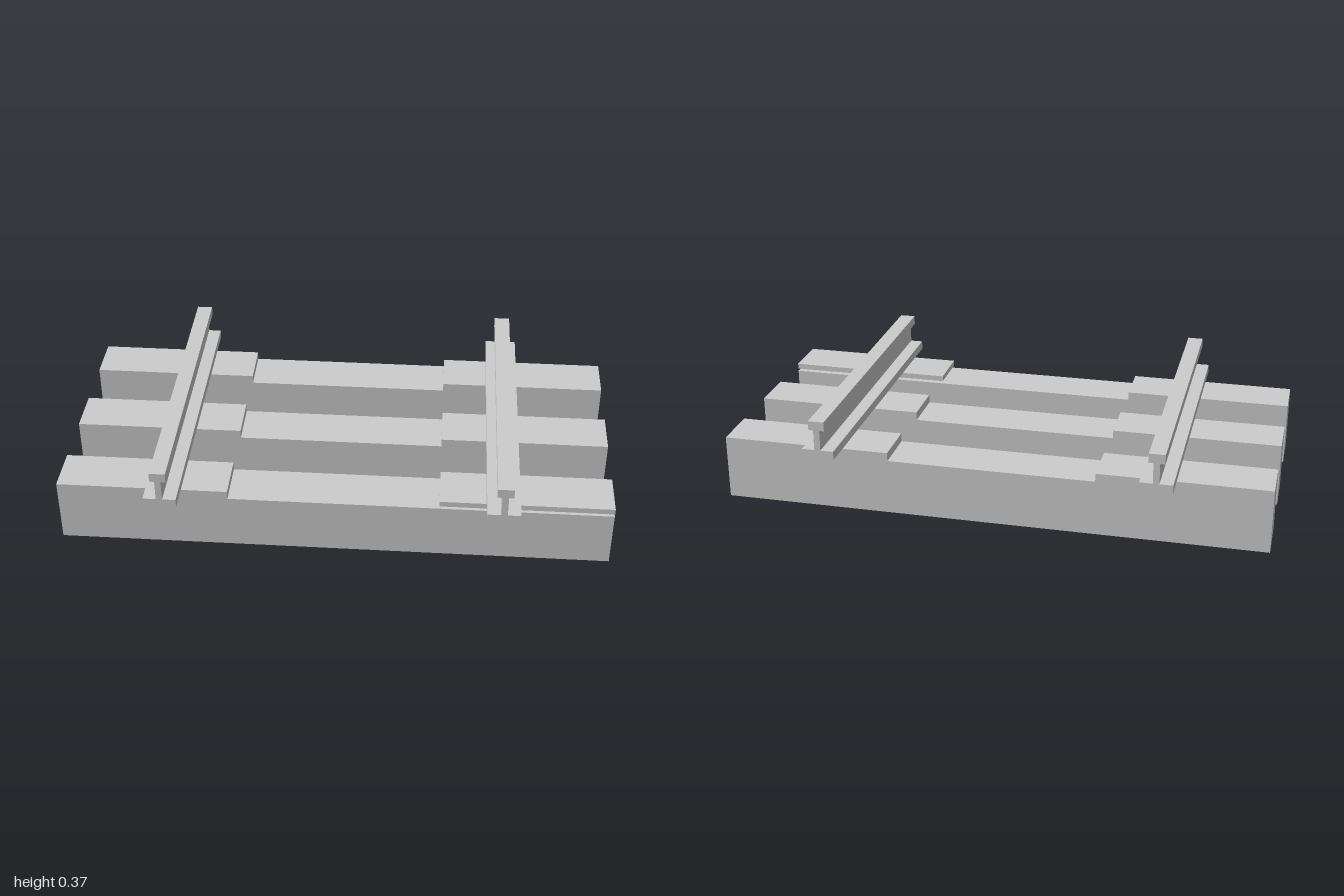
import * as THREE from 'three';

export function createModel() {
  const model = new THREE.Group();
  model.name = 'trackSection';
  const grey = new THREE.MeshStandardMaterial({ color: 0xcccccc });
  grey.name = 'grey';

  // Extrudes a side profile, centred on its depth
  function extrude(points, depth, name) {
    const shape = new THREE.Shape(points.map(([x, y]) => new THREE.Vector2(x, y)));
    const geometry = new THREE.ExtrudeGeometry(shape, { depth, bevelEnabled: false });
    geometry.translate(0, 0, -depth / 2);
    const mesh = new THREE.Mesh(geometry, grey);
    mesh.name = name;
    return mesh;
  }

  // The track lies diagonally: local x runs along the sleepers, local z along the rails
  const track = new THREE.Group();
  track.name = 'track';
  track.rotation.y = -Math.PI / 4;
  model.add(track);

  // Sleepers with raised ends and a lowered middle
  const half = 0.966, low = 0.2, high = 0.23, step = 0.367, width = 0.17;
  for (const z of [-0.362, 0, 0.362]) {
    const loose = z > 0; // the end pad of this sleeper is a separate plate
    const sleeper = extrude([
      [-half, 0], [half, 0],
      ...(loose ? [[half, low]] : [[half, high], [step, high], [step, low]]),
      [-step, low], [-step, high], [-half, high],
    ], width, 'sleeper');
    sleeper.position.z = z;
    track.add(sleeper);
    if (loose) {
      const pad = new THREE.Mesh(new THREE.BoxGeometry(half - step, 0.02, width), grey);
      pad.name = 'sleeperPad';
      pad.position.set((half + step) / 2, 0.22, z);
      track.add(pad);
    }
  }

  // Rails: foot, web and head in one profile
  const side = [[0.057, 0.232], [0.057, 0.263], [0.011, 0.263], [0.011, 0.337], [0.028, 0.337], [0.028, 0.37]];
  const profile = [...side, ...side.map(([x, y]) => [-x, y]).reverse()];
  for (const x of [-0.585, 0.585]) {
    const rail = extrude(profile, 1.09, 'rail');
    rail.position.x = x;
    track.add(rail);
  }
  return model;
}
